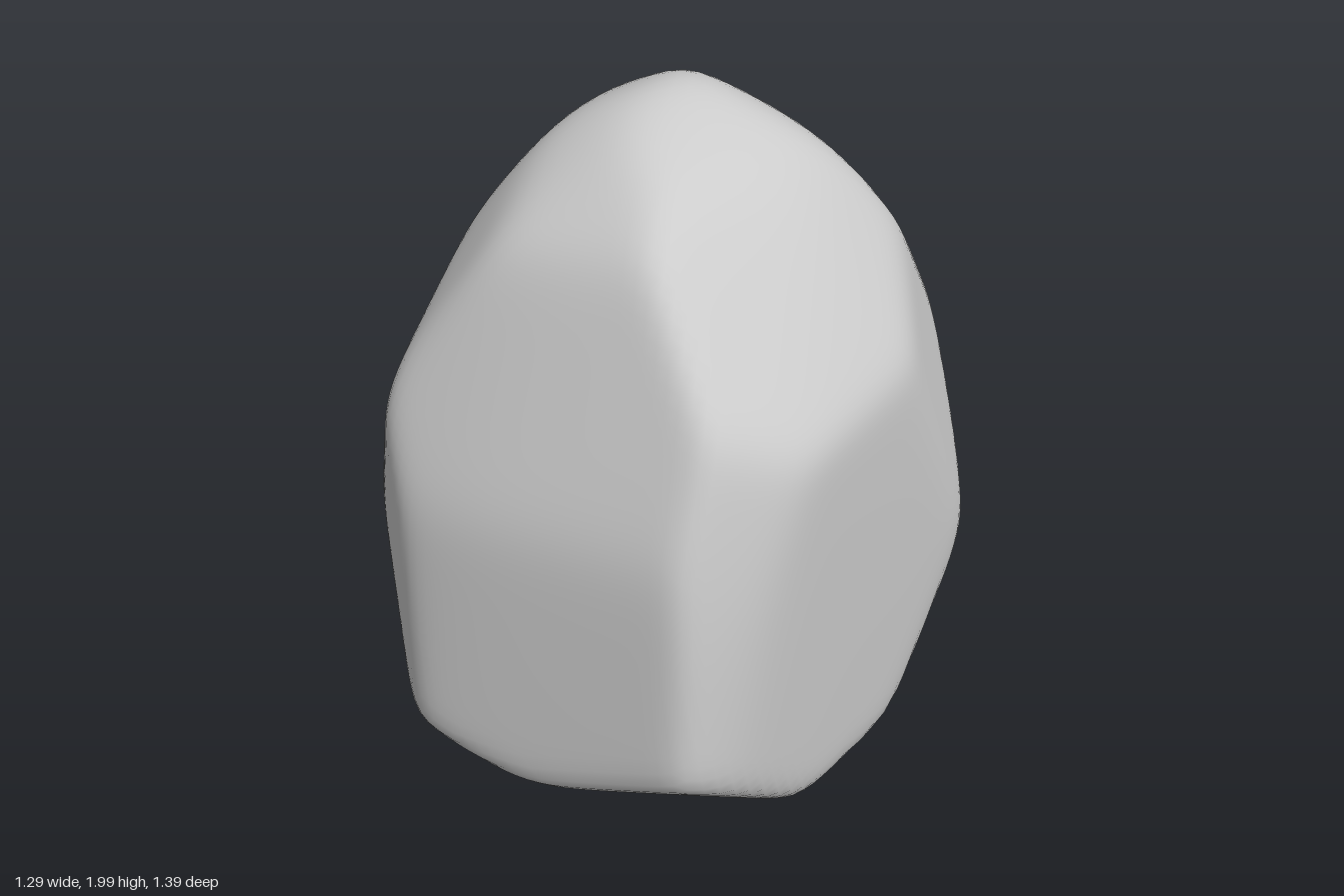
import * as THREE from 'three';
import { mergeVertices } from 'three/addons/utils/BufferGeometryUtils.js';

// Outlines of the boulder across six directions (degrees); points are u,v pairs about its middle
const OUTLINES = [
  { azimuth: 0, elevation: 0, points: [0, 1.01, -.31, .85, -.52, .43, -.66, -.28, -.61, -.85, -.43, -.96,
    0, -1.01, .52, -.92, .59, -.83, .65, .32, .32, .87] },
  { azimuth: 90, elevation: 0, points: [.12, 1.01, .45, .74, .7, .24, .67, -.28, .38, -.93, .28, -.98,
    -.22, -1.02, -.35, -.95, -.7, -.61, -.66, .06, -.43, .69, -.15, .95] },
  { azimuth: 0, elevation: 90, points: [-.2, -.7, .56, -.57, .65, -.25, .58, .58, .42, .69, -.28, .68,
    -.43, .6, -.64, .33, -.63, -.42] },
  { azimuth: 30, elevation: 20, points: [.03, 1, .52, .74, .78, -.2, .65, -.74, .27, -1, 0, -1, -.62, -.74,
    -.74, -.2, -.47, .58, -.18, .91] },
  { azimuth: 210, elevation: 20, points: [.05, .94, .3, .8, .64, .35, .75, -.2, .57, -.82, .24, -1,
    -.62, -.78, -.78, -.4, -.63, .45, -.28, .87] },
  { azimuth: 150, elevation: -20, points: [.16, .97, .49, .6, .7, -.36, .57, -.82, .27, -1, .1, -1.02,
    -.33, -.86, -.76, -.5, -.74, -.06, -.66, .38, -.25, .85, -.03, .98] },
];
// Large single faces that lean two ways at once: normal and offset
const FACES = [
  { normal: [1, -.06, -.068], offset: .617 }, // left side
  { normal: [.19, .045, 1], offset: .64 }, // lower front
  { normal: [.15, .36, 1], offset: .667 }, // upper front
  { normal: [.325, .73, -1], offset: .99 }, // upper back
];
const SOFTNESS = 42; // higher gives crisper edges between facets
const FULLNESS = 1.024; // pushes the facets out to make up for the rounding

// Each outline edge and each face becomes a cutting plane, stored as normal / distance
function cuttingPlanes() {
  const planes = FACES.map(({ normal, offset }) =>
    new THREE.Vector3(...normal).divideScalar(offset * FULLNESS));
  for (const { azimuth, elevation, points } of OUTLINES) {
    const a = THREE.MathUtils.degToRad(azimuth), e = THREE.MathUtils.degToRad(elevation);
    const right = new THREE.Vector3(Math.cos(a), 0, -Math.sin(a));
    const up = new THREE.Vector3(-Math.sin(a) * Math.sin(e), Math.cos(e), -Math.cos(a) * Math.sin(e));
    for (let i = 0; i < points.length; i += 2) {
      const j = (i + 2) % points.length;
      const nu = points[j + 1] - points[i + 1], nv = points[i] - points[j];
      const distance = (nu * points[i] + nv * points[i + 1]) * FULLNESS;
      planes.push(right.clone().multiplyScalar(nu / distance).addScaledVector(up, nv / distance));
    }
  }
  return planes;
}

// Sphere pressed inside all planes, with softly rounded edges between the facets
function rockGeometry() {
  const sphere = new THREE.IcosahedronGeometry(1, 28);
  sphere.deleteAttribute('uv');
  sphere.deleteAttribute('normal');
  const geometry = mergeVertices(sphere, 1e-4);
  const planes = cuttingPlanes();
  const position = geometry.attributes.position;
  const p = new THREE.Vector3();
  for (let i = 0; i < position.count; i++) {
    p.fromBufferAttribute(position, i);
    let sum = 0;
    for (const plane of planes) sum += Math.max(0, plane.dot(p)) ** SOFTNESS;
    p.multiplyScalar(sum ** (-1 / SOFTNESS));
    position.setXYZ(i, p.x, p.y, p.z);
  }
  geometry.computeVertexNormals();
  return geometry;
}

export function createModel() {
  const group = new THREE.Group();
  group.name = 'boulder';
  const rock = new THREE.Mesh(rockGeometry(), new THREE.MeshStandardMaterial({ color: 0xcccccc }));
  rock.name = 'rock';
  rock.position.y = 1;
  group.add(rock);
  return group;
}
